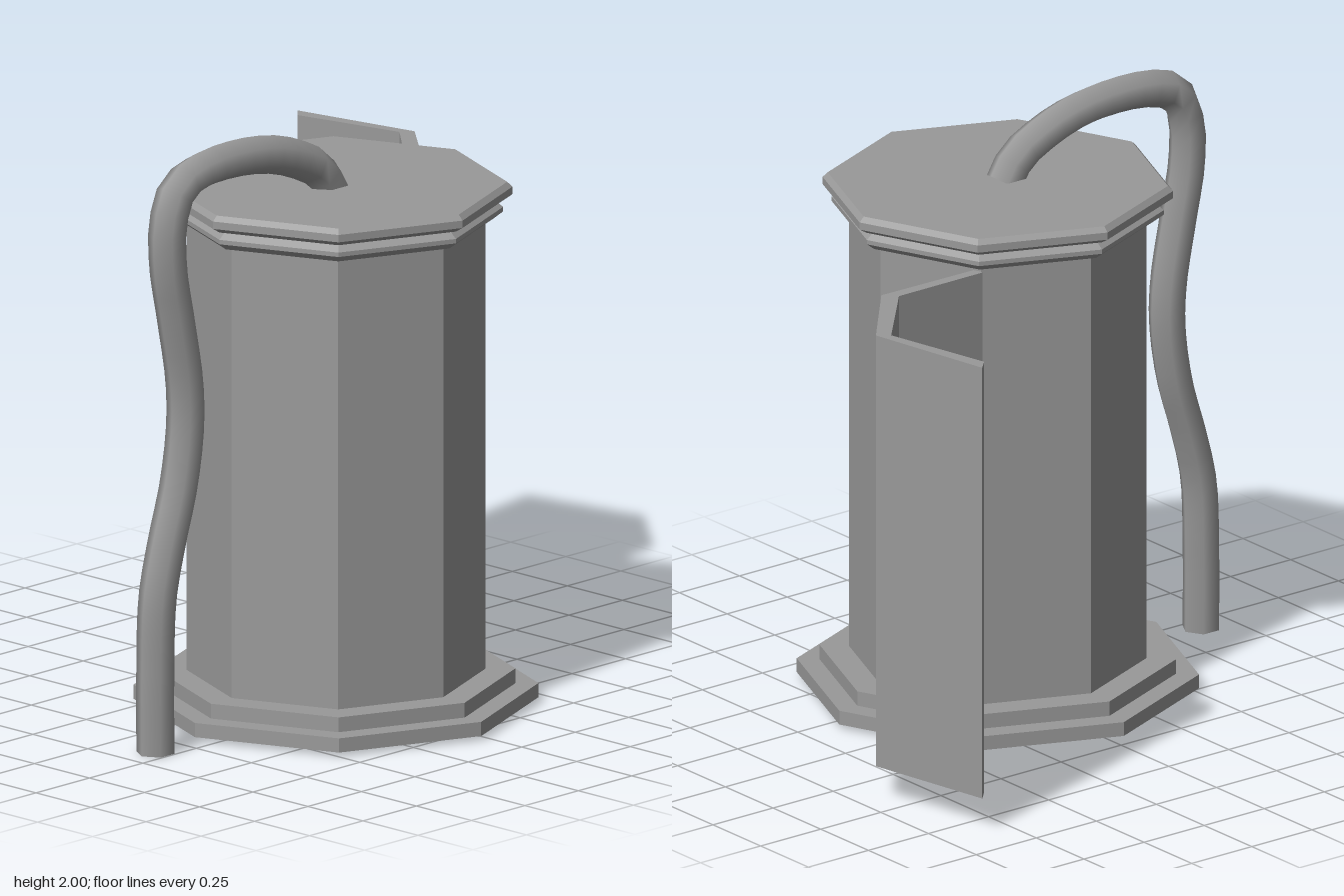
import * as THREE from 'three';

const CX = -0.035, CZ = 0.19;

// Gives every face its own flat normal
function faceted(geometry) {
  const g = geometry.index ? geometry.toNonIndexed() : geometry;
  g.computeVertexNormals();
  return g;
}

export function createModel() {
  const model = new THREE.Group();
  const grey = new THREE.MeshStandardMaterial({ color: 0x999999 });
  grey.name = 'grey';

  function add(name, geometry) {
    const mesh = new THREE.Mesh(geometry, grey);
    mesh.name = name;
    model.add(mesh);
    return mesh;
  }

  // Eight-sided turned parts, corners on the axes; profile is [radius, y] upward
  function octagonal(name, profile) {
    const points = profile.map(([r, y]) => new THREE.Vector2(r, y));
    add(name, faceted(new THREE.LatheGeometry(points, 8))).position.set(CX, 0, CZ);
  }
  octagonal('steppedBase', [[0, 0.015], [0.66, 0.015], [0.66, 0.063], [0.585, 0.063], [0.585, 0.113], [0, 0.113]]);
  octagonal('body', [[0.488, 0.11], [0.488, 1.65]]);
  octagonal('lid', [
    [0, 1.637], [0.515, 1.637], [0.545, 1.66], [0.545, 1.675], [0.515, 1.70],
    [0.545, 1.70], [0.575, 1.718], [0.575, 1.743], [0.558, 1.76], [0, 1.76],
  ]);

  // Folded door of three panels, drawn in plan as [x, z]
  const plan = [
    [0.31, -0.165], [0.31, -0.13], [0.70, -0.125], [0.945, -0.405],
    [0.86, -0.855], [0.82, -0.815], [0.905, -0.435], [0.66, -0.167],
  ];
  const doorShape = new THREE.Shape(plan.map(([x, z]) => new THREE.Vector2(x, -z)));
  const door = new THREE.ExtrudeGeometry(doorShape, { depth: 1.5, bevelEnabled: false });
  door.rotateX(-Math.PI / 2).translate(0, 0.12, 0);
  add('foldedDoor', faceted(door));

  // Hanging hose, six-sided with smooth normals
  const path = [
    [-0.88, 0], [-0.88, 0.28], [-0.87, 0.52], [-0.83, 0.69], [-0.77, 0.89], [-0.74, 1.09],
    [-0.745, 1.235], [-0.785, 1.45], [-0.82, 1.63], [-0.82, 1.78], [-0.775, 1.885], [-0.68, 1.925],
    [-0.505, 1.936], [-0.335, 1.915], [-0.205, 1.87], [-0.11, 1.815], [-0.06, 1.74],
  ];
  const curve = new THREE.CatmullRomCurve3(path.map(([x, y]) => new THREE.Vector3(x, y, CZ)));
  // Turn the cross-section a quarter so a corner lies in the plane of the bend
  const frames = curve.computeFrenetFrames.bind(curve);
  curve.computeFrenetFrames = (segments, closed) => {
    const f = frames(segments, closed);
    return { tangents: f.tangents, normals: f.binormals, binormals: f.normals.map((n) => n.clone().negate()) };
  };
  add('hose', new THREE.TubeGeometry(curve, 40, 0.064, 6));

  // Closed lower end of the hose
  const cap = new THREE.CircleGeometry(0.064, 6);
  cap.rotateX(Math.PI / 2).translate(-0.88, 0, CZ);
  add('hoseEnd', cap);

  return model;
}
